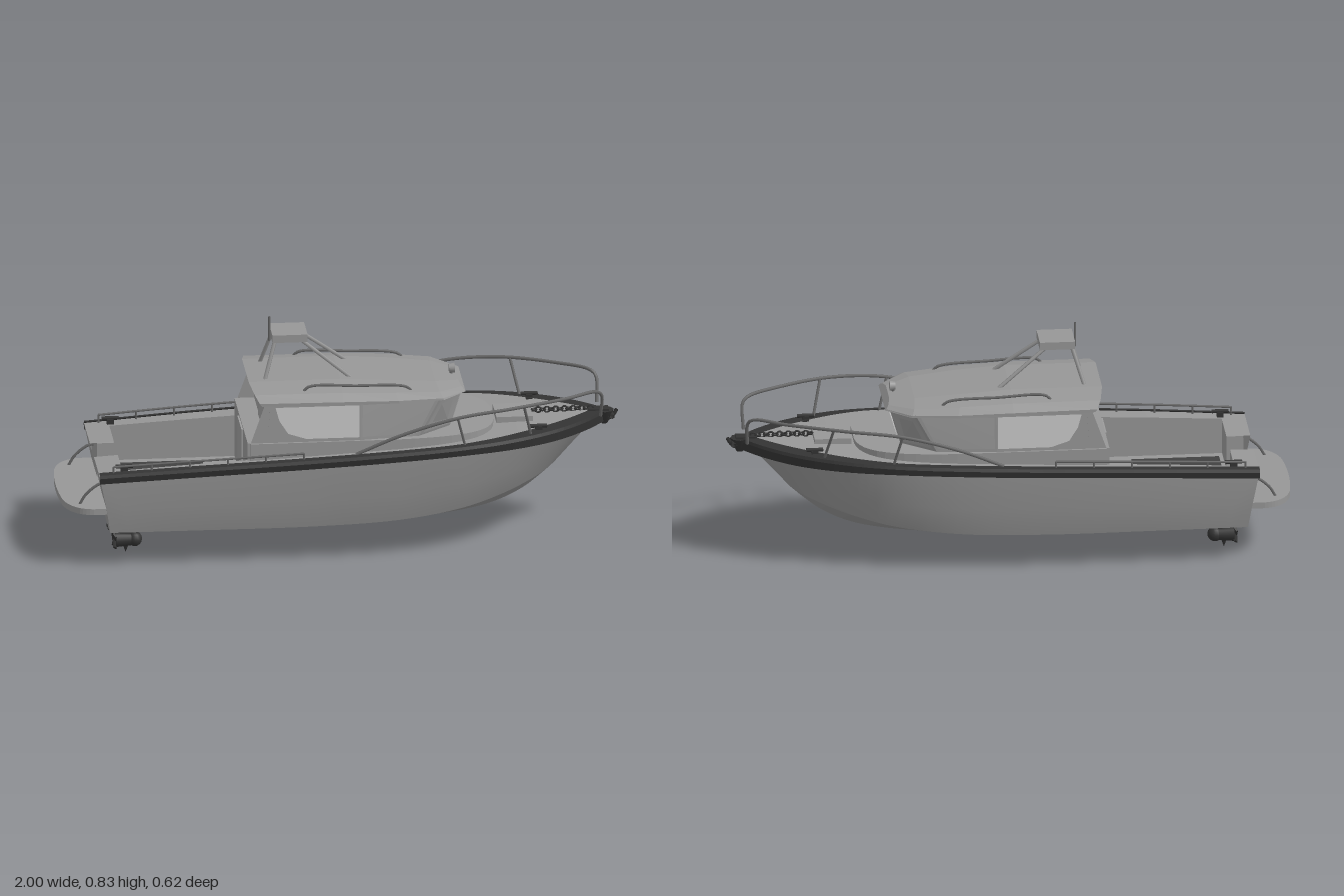
import * as THREE from 'three';

const paint = (name, color) => {
  const m = new THREE.MeshStandardMaterial({ color, side: THREE.DoubleSide });
  m.name = name;
  return m;
};
const V = (x, y, z) => new THREE.Vector3(x, y, z);
const lerp = THREE.MathUtils.lerp;

// surface through rows of points; flat gives hard facets
function loft(rows, flat = false) {
  const n = rows[0].length, idx = [];
  for (let i = 0; i < rows.length - 1; i++)
    for (let j = 0; j < n - 1; j++) {
      const a = i * n + j, b = a + n;
      idx.push(a, b, a + 1, b, b + 1, a + 1);
    }
  let g = new THREE.BufferGeometry().setFromPoints(rows.flat());
  g.setIndex(idx);
  if (flat) g = g.toNonIndexed();
  g.computeVertexNormals();
  return g;
}

export function createModel() {
  const model = new THREE.Group();
  model.name = 'cabinBoat';
  const hullGrey = paint('hull grey', 0x969696);
  const rubber = paint('dark rubber', 0x333333);
  const floorDark = paint('dark floor', 0x424242);
  const metal = paint('rail metal', 0x666666);
  const paleGlass = paint('pale glass', 0xc8c8c8);
  const greyGlass = paint('grey glass', 0x9c9c9c);

  const add = (name, geo, mat, x = 0, y = 0, z = 0) => {
    const m = new THREE.Mesh(geo, mat);
    m.name = name;
    m.position.set(x, y, z);
    model.add(m);
    return m;
  };
  const box = (name, mat, x0, x1, y0, y1, z0, z1) =>
    add(name, new THREE.BoxGeometry(x1 - x0, y1 - y0, Math.abs(z1 - z0)), mat,
      (x0 + x1) / 2, (y0 + y1) / 2, (z0 + z1) / 2);
  const tube = (name, pts, r = 0.006, mat = metal, n = 30) =>
    add(name, new THREE.TubeGeometry(new THREE.CatmullRomCurve3(pts), n, r, 6), mat);
  const rod = (name, a, b, r = 0.006, mat = metal) =>
    add(name, new THREE.TubeGeometry(new THREE.LineCurve3(a, b), 1, r, 6), mat);

  // hull lines from stern to bow, half breadth in z
  const N = 40;
  const line = pts => {
    const c = new THREE.CatmullRomCurve3(pts.map(p => V(...p)));
    return Array.from({ length: N + 1 }, (_, i) => c.getPoint(i / N));
  };
  const keel = line([[-.81, .055, 0], [-.5, .053, 0], [-.1, .053, 0], [.2, .06, 0], [.42, .08, 0],
    [.56, .112, 0], [.66, .16, 0], [.725, .21, 0], [.77, .25, 0]]);
  const chine = line([[-.83, .135, .255], [-.5, .135, .26], [-.1, .135, .26], [.2, .145, .25], [.42, .168, .215],
    [.56, .195, .165], [.66, .22, .11], [.73, .238, .05], [.77, .25, 0]]);
  const knuckle = line([[-.845, .23, .275], [-.5, .235, .286], [-.1, .24, .288], [.2, .25, .284], [.42, .27, .26],
    [.58, .29, .212], [.7, .315, .145], [.79, .335, .075], [.855, .345, 0]]);
  const sheer = line([[-.87, .355, .28], [-.5, .375, .294], [-.1, .393, .301], [.2, .408, .301], [.42, .418, .285],
    [.6, .426, .245], [.76, .431, .17], [.87, .435, .085], [.94, .438, .008]]);
  const sheerAt = x => {
    let i = 0;
    while (i < N - 1 && sheer[i + 1].x < x) i++;
    const a = sheer[i], b = sheer[i + 1];
    return a.clone().lerp(b, THREE.MathUtils.clamp((x - a.x) / (b.x - a.x), 0, 1));
  };

  const FLOOR = 0.23;
  for (const s of [1, -1]) {
    const side = p => V(p.x, p.y, p.z * s);
    add('hullBottom', loft([keel.map(side), chine.map(side)]), hullGrey);
    add('hullSide', loft([chine.map(side), knuckle.map(side), sheer.map(side)]), hullGrey);

    // transom, open in the middle above the platform
    const k = knuckle[0], t = sheer[0];
    add('transomLower', loft([[keel[0], chine[0], k].map(side),
      [keel[0], V(chine[0].x, chine[0].y, 0), V(k.x, k.y, 0)]], true), hullGrey);
    add('transomUpper', loft([[k, t].map(side), [V(k.x, k.y, .07 * s), V(t.x, t.y, .07 * s)]], true), hullGrey);
    box('transomBlock', hullGrey, -.845, -.785, FLOOR, .354, .07 * s, .27 * s);

    // decks
    const deck = (name, x0, x1, inner, crown) => {
      const outer = [], mid = [];
      for (let i = 0; i <= 20; i++) {
        const p = sheerAt(lerp(x0, x1, i / 20));
        outer.push(side(p));
        mid.push(V(p.x, p.y + crown, Math.min(inner, p.z) * s));
      }
      add(name, loft([outer, mid]), hullGrey);
      return mid;
    };
    deck('foreDeck', -.33, .935, 0, .008);
    deck('aftDeck', -.87, -.785, .07, 0);
    const edge = deck('sideDeck', -.785, -.33, .23, 0);
    add('cockpitWall', loft([edge, edge.map(p => V(p.x, FLOOR, p.z))]), hullGrey);

    // rubbing strake wrapped over the gunwale, wider at the bow
    const strake = sheer.map((p, i) => {
      const bow = THREE.MathUtils.smoothstep(p.x, .35, .8), x = p.x + .008 * i / N;
      return [[.004, -.026 - .01 * bow], [.009, -.004], [.004, .007], [-.018 - .04 * bow, .01]]
        .map(([dz, dy]) => V(x, p.y + dy, Math.max(0, p.z + dz) * s));
    });
    add('rubbingStrake', loft(strake, true), rubber);

    // bow rail
    const rail = [[.04, .41, .285], [.2, .48, .298], [.4, .537, .298], [.6, .555, .268], [.8, .556, .185],
      [.91, .552, .115], [.93, .535, .1], [.93, .445, .07]].map(p => V(p[0], p[1], p[2] * s));
    tube('bowRail', rail, .006, metal, 60);
    for (const [x, y, z, dx] of [[.4, .537, .298, .03], [.64, .556, .255, .03]]) {
      const f = sheerAt(x + dx);
      rod('bowRailPost', V(x, y, z * s), V(f.x, f.y, (f.z - .015) * s), .005);
    }

    // low stern rail
    const low = [];
    for (let i = 0; i <= 5; i++) {
      const p = sheerAt(-.82 + i * .135);
      low.push(V(p.x, p.y + .03, (p.z - .012) * s));
      rod('sternRailPost', low[i], V(p.x, p.y, (p.z - .012) * s), .004);
    }
    tube('sternRail', low, .004);

    // cleats
    for (const x of [-.78, .7]) {
      const p = sheerAt(x), z = (p.z - .035) * s;
      box('cleatBase', rubber, x - .012, x + .012, p.y, p.y + .02, z - .008, z + .008);
      rod('cleatBar', V(x - .03, p.y + .022, z), V(x + .03, p.y + .022, z), .007, rubber);
    }

    // platform hoops
    tube('platformHoop', [V(-.935, .225, .2 * s), V(-.91, .265, .2 * s), V(-.865, .3, .2 * s), V(-.84, .305, .2 * s)], .005);

    // drive pods
    const z = .095 * s;
    add('drivePod', new THREE.CylinderGeometry(.028, .022, .07, 16).rotateZ(Math.PI / 2), rubber, -.76, .052, z);
    add('driveNose', new THREE.SphereGeometry(.027, 16, 8), rubber, -.728, .052, z);
    box('driveLeg', rubber, -.785, -.735, .06, .12, z - .009, z + .009);
    add('driveFin', new THREE.ConeGeometry(.012, .03, 6).rotateX(Math.PI), rubber, -.76, .018, z);
    for (let i = 0; i < 4; i++) {
      const b = add('propellerBlade', new THREE.BoxGeometry(.007, .034, .018), rubber, -.8, .052, z);
      b.rotation.set(i * Math.PI / 2 + Math.PI / 4, .5, 0);
      b.translateY(.017);
    }
  }

  // cockpit floor and hatch
  box('cockpitFloor', hullGrey, -.845, -.33, FLOOR - .01, FLOOR, -.232, .232);
  box('floorHatch', floorDark, -.77, -.46, FLOOR, FLOOR + .006, -.185, .185);

  // swim platform
  const plat = new THREE.Shape();
  plat.moveTo(-.82, -.265).lineTo(-.89, -.265).quadraticCurveTo(-.97, -.255, -.99, -.15)
    .quadraticCurveTo(-1.008, 0, -.99, .15).quadraticCurveTo(-.97, .255, -.89, .265).lineTo(-.82, .265);
  add('swimPlatform', new THREE.ExtrudeGeometry(plat, { depth: .022, bevelEnabled: false }).rotateX(Math.PI / 2),
    hullGrey, 0, .23, 0);

  // coachroof under the cabin with rounded nose
  const trunk = new THREE.Shape();
  trunk.moveTo(-.33, -.245).lineTo(.2, -.245).bezierCurveTo(.42, -.235, .54, -.2, .55, -.06)
    .lineTo(.55, .06).bezierCurveTo(.54, .2, .42, .235, .2, .245).lineTo(-.33, .245);
  add('coachRoof', new THREE.ExtrudeGeometry(trunk, { depth: .09, bevelEnabled: false, curveSegments: 12 })
    .rotateX(Math.PI / 2), hullGrey, 0, .446, 0);
  box('foreHatch', hullGrey, .56, .69, .42, .452, -.07, .07);

  // cabin walls with panes; pane corners are fractions across and up each wall
  const low = [[-.33, .236], [.06, .238], [.27, .215], [.39, .115]];
  const top = [[-.28, .232], [.06, .234], [.345, .212], [.432, .115]];
  const wall = (name, a, b, c, d, panes) => {
    add(name, loft([[a, b], [d, c]], true), hullGrey);
    const n = b.clone().sub(a).cross(d.clone().sub(a)).normalize();
    const mid = a.clone().add(c).multiplyScalar(.5);
    if (n.dot(V(mid.x - .02, 0, mid.z)) < 0) n.negate();
    for (const [mat, pts] of panes) {
      const shape = new THREE.ShapeGeometry(new THREE.Shape(pts.map(p => new THREE.Vector2(...p))));
      const pos = shape.attributes.position;
      for (let i = 0; i < pos.count; i++) {
        const u = pos.getX(i), v = pos.getY(i);
        const p = a.clone().lerp(b, u).lerp(d.clone().lerp(c, u), v).addScaledVector(n, .004);
        pos.setXYZ(i, p.x, p.y, p.z);
      }
      shape.computeVertexNormals();
      add(name + 'Pane', shape, mat);
    }
  };
  const pane = (u0, u1, v0 = .1, v1 = .95) => [[u0, v0], [u1, v0], [u1, v1], [u0, v1]];
  const YB = .444, YT = .584;
  for (const s of [1, -1]) {
    const L = low.map(p => V(p[0], YB, p[1] * s)), T = top.map(p => V(p[0], YT, p[1] * s));
    wall('cabinSide', L[0], L[1], T[1], T[0], [[paleGlass,
      [[.5, .1], [.99, .1], [.99, .95], [.12, .95], [.2, .6], [.32, .25]]]]);
    wall('cabinQuarter', L[1], L[2], T[2], T[1], [[greyGlass, pane(.03, .95)]]);
    wall('cabinCorner', L[2], L[3], T[3], T[2], [[greyGlass, pane(.06, .94)]]);
  }
  wall('cabinFront', V(.39, YB, .115), V(.39, YB, -.115), V(.432, YT, -.115), V(.432, YT, .115),
    [[paleGlass, pane(.04, .96)]]);
  wall('cabinBack', V(-.27, YB, -.235), V(-.27, YB, .235), V(-.26, YT, .235), V(-.26, YT, -.235),
    [[greyGlass, pane(.04, .32)], [greyGlass, pane(.36, .64, .02)], [greyGlass, pane(.68, .96)]]);
  box('cockpitBulkhead', hullGrey, -.34, -.33, FLOOR, .446, -.235, .235);
  box('cabinDoor', greyGlass, -.346, -.34, FLOOR + .02, .44, -.07, .07);

  // faceted roof: [x at rim, x at top, half width, rim y, top y]
  const ring = ([xb, xt, w, yb, yt]) => {
    const half = [[1, 0], [1, .2], [.86, .62], [.5, 1]].map(([fz, fy]) =>
      V(lerp(xb, xt, fy), lerp(yb, yt, fy), w * fz));
    const pts = [...half, ...half.map(p => V(p.x, p.y, -p.z)).reverse()];
    return [...pts, pts[0].clone()];
  };
  const rings = [[-.29, -.325, .238, .584, .635], [0, 0, .24, .58, .636], [.2, .18, .236, .578, .624],
    [.36, .34, .212, .576, .61], [.445, .425, .125, .574, .596]].map(ring);
  const cap = r => r.map(() => V(r[0].x, r[0].y, 0).lerp(V(r[3].x, r[3].y, 0), .5));
  add('cabinRoof', loft([cap(rings[0]), ...rings, cap(rings[4])], true), hullGrey);

  // roof fittings: grab rails, mast legs, radar, antenna, searchlight
  for (const s of [1, -1]) {
    tube('roofGrabRail', [V(-.14, .612, .185 * s), V(-.12, .632, .182 * s), V(.05, .63, .18 * s),
      V(.23, .618, .175 * s), V(.25, .6, .175 * s)], .005);
    rod('mastAftLeg', V(-.265, .63, .092 * s), V(-.225, .76, .048 * s), .007, hullGrey);
    rod('mastForeLeg', V(.04, .63, .092 * s), V(-.13, .76, .048 * s), .007, hullGrey);
  }
  box('radar', hullGrey, -.235, -.11, .758, .786, -.064, .064);
  rod('antenna', V(-.24, .745, 0), V(-.24, .835, 0), .004);
  rod('searchlightStand', V(.405, .59, 0), V(.405, .62, 0), .006);
  add('searchlight', new THREE.CylinderGeometry(.018, .014, .02, 16).rotateZ(-Math.PI / 2), hullGrey, .408, .619, 0);

  // bow roller, anchor and chain
  box('bowRoller', rubber, .89, .965, .42, .45, -.02, .02);
  add('anchorCrown', new THREE.CylinderGeometry(.034, .012, .05, 8), rubber, .95, .418, 0);
  tube('anchorFluke', [V(.92, .408, 0), V(.955, .406, 0), V(.98, .42, 0), V(.994, .442, 0)], .007, rubber);
  rod('anchorArm', V(.975, .425, -.032), V(.975, .425, .032), .009, rubber);
  for (let i = 0; i < 14; i++) {
    const link = add('chainLink', new THREE.TorusGeometry(.01, .0035, 5, 10), rubber, .7 + i * .0155, .45, 0);
    link.rotation.x = i % 2 ? 0 : Math.PI / 2;
  }
  return model;
}
